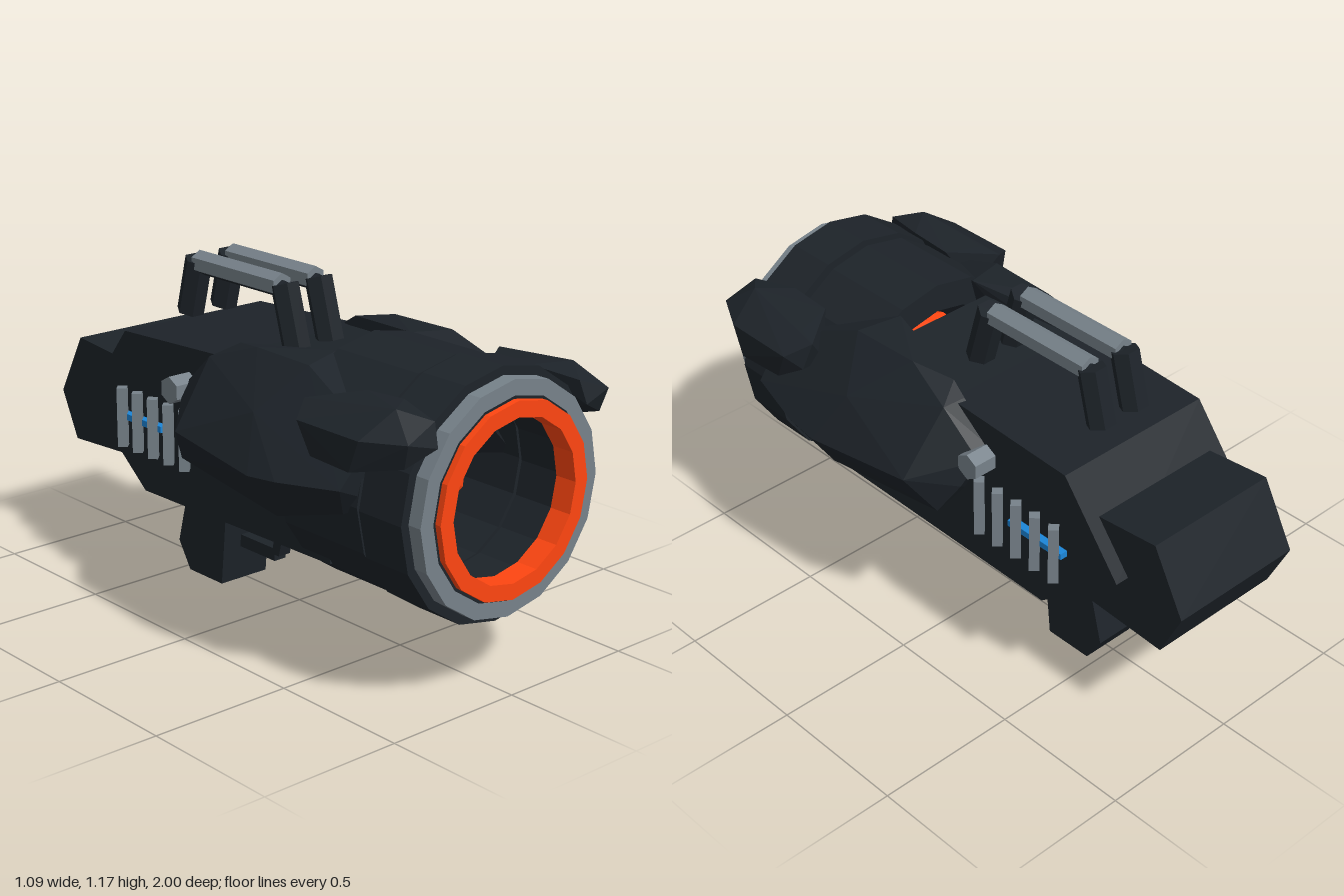
import * as THREE from 'three';
import { ConvexGeometry } from 'three/addons/geometries/ConvexGeometry.js';

const CX = -0.01, CY = 0.64; // barrel axis
const mat = (color) => new THREE.MeshStandardMaterial({ color, flatShading: true });

export function createModel() {
  const root = new THREE.Group();
  const dark = mat(0x1d2329), grey = mat(0x77828a), orange = mat(0xff4611), blue = mat(0x1c86d9);

  const add = (name, geo, material, x = 0, y = 0, z = 0) => {
    const m = new THREE.Mesh(geo, material);
    m.name = name;
    m.position.set(x, y, z);
    root.add(m);
    return m;
  };

  // Side outline given as [z, y], extruded across x
  const slab = (name, outline, width, material) => {
    const shape = new THREE.Shape(outline.map(([z, y]) => new THREE.Vector2(z, y)));
    const geo = new THREE.ExtrudeGeometry(shape, { depth: width, bevelEnabled: false });
    geo.translate(0, 0, -width / 2).rotateY(-Math.PI / 2);
    add(name, geo, material, CX);
  };

  // Sixteen-sided ring around the barrel axis, corners counter-clockwise
  const polygon = (r) => Array.from({ length: 16 }, (_, i) => {
    const a = (i / 16) * Math.PI * 2;
    return new THREE.Vector2(Math.cos(a) * r, Math.sin(a) * r);
  });
  const ring = (name, outer, inner, z0, z1, material) => {
    const shape = new THREE.Shape(polygon(outer));
    shape.holes.push(new THREE.Path(polygon(inner).reverse()));
    const geo = new THREE.ExtrudeGeometry(shape, { depth: z1 - z0, bevelEnabled: false });
    add(name, geo, material, CX, CY, z0);
  };

  // Straight bar with n sides between two points
  const bar = (name, a, b, r, n, material, turn = 0) => {
    const p = new THREE.Vector3(...a), q = new THREE.Vector3(...b);
    const geo = new THREE.CylinderGeometry(r, r, p.distanceTo(q), n);
    geo.rotateY(turn);
    const m = add(name, geo, material);
    m.position.copy(p).add(q).multiplyScalar(0.5);
    m.quaternion.setFromUnitVectors(new THREE.Vector3(0, 1, 0), q.sub(p).normalize());
  };

  // Faceted solid around a few corner points, on one side of the model
  const hull = (name, pts, side) => add(name,
    new ConvexGeometry(pts.map(([x, y, z]) => new THREE.Vector3(side * x, y, z))), dark);

  // Barrel: two separate sections, muzzle rings and the core ball
  ring('rearBarrel', 0.4, 0.3, 0.37, 0.73, dark);
  ring('frontBarrel', 0.41, 0.29, 0.75, 0.93, dark);
  ring('muzzleRing', 0.38, 0.328, 0.93, 0.98, grey);
  ring('muzzleLiner', 0.329, 0.3, 0.93, 0.978, dark);
  ring('muzzleGlow', 0.318, 0.265, 0.92, 1.0, orange);
  add('energyCore', new THREE.IcosahedronGeometry(0.228, 1), orange, CX, CY, 0.48);

  // Body, stock and grip
  slab('body', [[0.31, 0.96], [0.5, 0.69], [0.5, 0.365], [-0.45, 0.35], [-0.775, 0.61],
    [-0.545, 0.9], [-0.03, 0.925]], 0.6, dark);
  slab('stock', [[-0.5, 0.76], [-0.66, 0.775], [-0.88, 0.795], [-1, 0.575], [-0.92, 0.41],
    [-0.5, 0.435]], 0.5, dark);
  slab('grip', [[-0.25, 0.38], [-0.275, 0.12], [-0.287, 0], [-0.465, 0], [-0.525, 0.095],
    [-0.45, 0.38]], 0.2, dark);

  // Trigger and guard
  slab('triggerGuard', [[-0.012, 0.36], [-0.068, 0.148], [-0.09, 0.148], [-0.09, 0.125], [-0.3, 0.125],
    [-0.3, 0.17], [-0.1, 0.17], [-0.055, 0.36]], 0.05, dark);
  slab('trigger', [[-0.195, 0.37], [-0.205, 0.29], [-0.222, 0.29], [-0.222, 0.37]], 0.03, grey);

  // Twin carrying handles on top
  for (const x of [-0.081, 0.064]) {
    bar('handleFrontLeg', [x, 0.93, 0.08], [x, 1.135, 0.02], 0.049, 6, dark, Math.PI / 6);
    bar('handleRearLeg', [x, 0.945, -0.475], [x, 1.135, -0.425], 0.049, 6, dark, Math.PI / 6);
    bar('handleCore', [x, 1.115, 0.025], [x, 1.115, -0.43], 0.03, 6, dark);
    bar('handleGrip', [x, 1.127, 0.007], [x, 1.127, -0.42], 0.041, 6, grey);
  }

  // Parts mirrored on both sides
  for (const side of [-1, 1]) {
    const x = (d) => CX + side * d;

    hull('sideArmour', [
      [0.28, 0.82, -0.2], [0.33, 0.79, -0.2], [0.38, 0.7, -0.17], [0.25, 0.965, 0],
      [0.26, 0.93, -0.06], [0.34, 0.925, -0.05], [0.5, 0.71, -0.03], [0.42, 0.585, -0.1],
      [0.28, 0.6, -0.08], [0.16, 1.0, 0.36], [0.31, 0.99, 0.4], [0.3, 0.99, 0.14],
      [0.45, 0.845, 0.3], [0.543, 0.68, 0.38], [0.44, 0.53, 0.4], [0.28, 0.56, 0.4],
      [0.535, 0.69, 0.5], [0.48, 0.71, 0.73], [0.42, 0.61, 0.68], [0.3, 0.63, 0.72],
      [0.36, 0.85, 0.74],
    ], side);

    hull('frontPod', [
      [0.32, 0.87, 0.975], [0.43, 0.9, 0.965], [0.42, 0.82, 0.94], [0.31, 0.945, 0.95],
      [0.27, 0.965, 0.78], [0.38, 0.975, 0.86], [0.5, 0.895, 0.83], [0.5, 0.79, 0.79],
      [0.38, 0.785, 0.8], [0.27, 0.955, 0.62], [0.4, 0.945, 0.58], [0.5, 0.895, 0.56],
      [0.49, 0.792, 0.61], [0.42, 0.935, 0.505], [0.45, 0.84, 0.525], [0.34, 0.82, 0.55],
    ], side);

    // Cooling fins with a glowing strip
    for (let i = 0; i < 5; i++) {
      const z = -0.19 - i * 0.085;
      bar('coolingFin', [x(0.33), 0.5, z], [x(0.33), 0.71, z], 0.024, 4, grey);
    }
    add('glowStrip', new THREE.BoxGeometry(0.04, 0.022, 0.24), blue, x(0.308), 0.607, -0.44);

    // Faceted bolt behind the armour
    bar('bolt', [x(0.28), 0.787, -0.195], [x(0.385), 0.787, -0.195], 0.047, 6, grey, Math.PI / 6);
  }

  return root;
}
